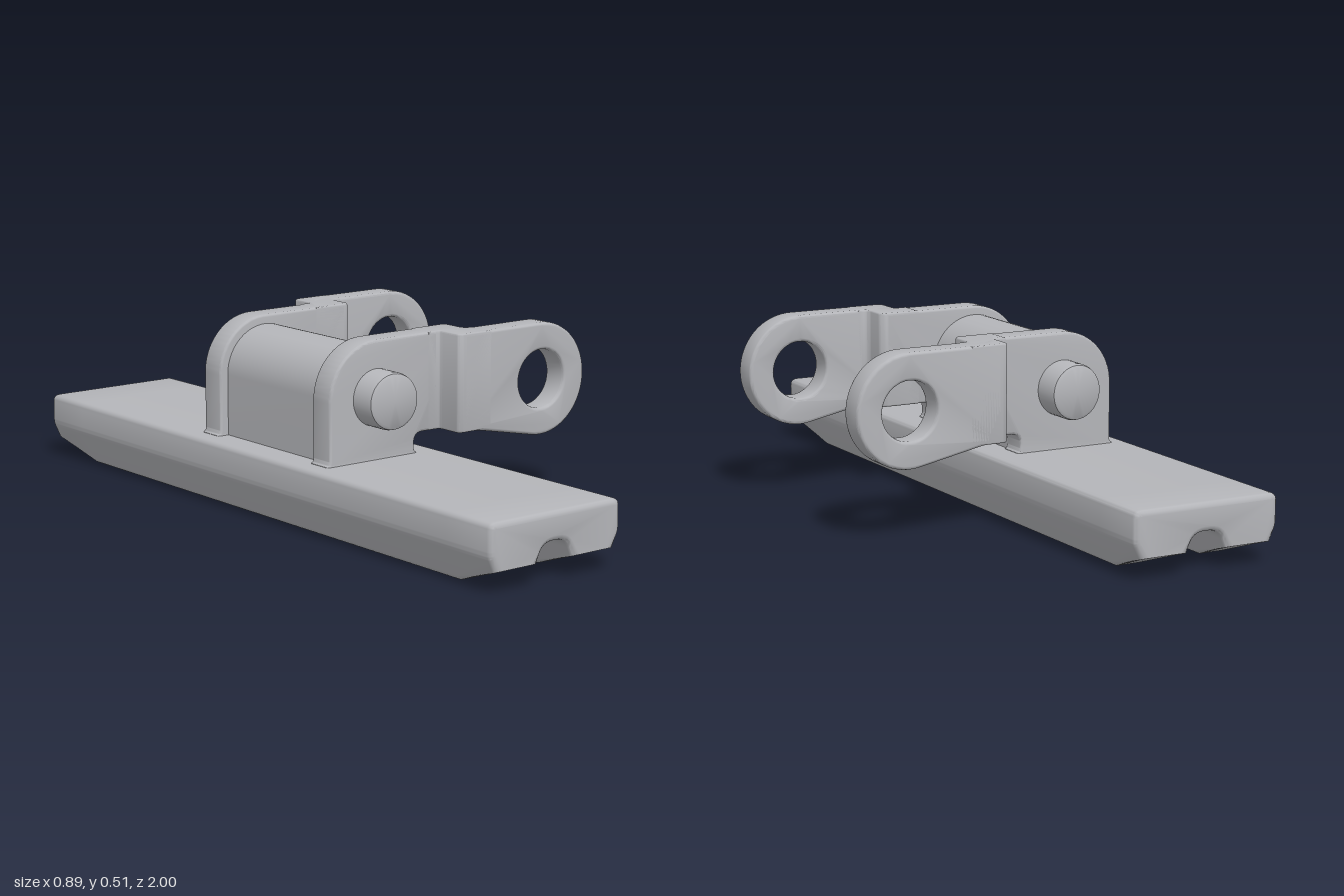
import * as THREE from 'three';
import { toCreasedNormals } from 'three/addons/utils/BufferGeometryUtils.js';

// Closed outline from [x, y, cornerRadius] points
function roundedShape(points) {
  const shape = new THREE.Shape();
  const n = points.length;
  points.forEach(([x, y, r = 0], i) => {
    const here = new THREE.Vector2(x, y);
    const toward = (q) => here.clone().add(new THREE.Vector2(q[0] - x, q[1] - y).setLength(r));
    const a = r ? toward(points[(i + n - 1) % n]) : here;
    if (i === 0) shape.moveTo(a.x, a.y);
    else shape.lineTo(a.x, a.y);
    if (r) {
      const b = toward(points[(i + 1) % n]);
      shape.quadraticCurveTo(x, y, b.x, b.y);
    }
  });
  return shape;
}

// Extrusion from z0 to z1 with softened edges that keep the outline size
function extrude(shape, z0, z1, bevel, curveSegments = 6, steps = 1) {
  const geo = new THREE.ExtrudeGeometry(shape, {
    depth: z1 - z0 - 2 * bevel, steps, curveSegments,
    bevelEnabled: bevel > 0, bevelThickness: bevel, bevelSize: bevel,
    bevelOffset: -bevel, bevelSegments: 3,
  });
  return geo.translate(0, 0, z0 + bevel);
}

export function createModel() {
  const model = new THREE.Group();
  const steel = new THREE.MeshStandardMaterial({ color: 0xb4b5b9 });
  steel.name = 'steel grey';
  const add = (name, geo) => {
    const mesh = new THREE.Mesh(toCreasedNormals(geo, 0.6), steel);
    mesh.name = name;
    model.add(mesh);
    return mesh;
  };
  const pinX = -0.23, pinY = 0.355;

  // Long tread shoe with two ribs below
  const shoe = extrude(roundedShape([
    [-0.445, 0.1, 0.012], [-0.402, 0, 0.014], [-0.313, 0, 0.014], [-0.268, 0.107, 0.03],
    [-0.192, 0.107, 0.03], [-0.147, 0, 0.014], [-0.058, 0, 0.014], [-0.012, 0.1, 0.012],
    [-0.012, 0.185, 0.022], [-0.445, 0.185, 0.022],
  ]), -1, 1, 0.015, 6, 3);
  // Slope the rib undersides up toward both ends
  const pos = shoe.attributes.position;
  for (let i = 0; i < pos.count; i++) {
    let x = pos.getX(i), y = pos.getY(i), z = pos.getZ(i);
    if (Math.abs(z) < 0.5) z = Math.sign(z) * 0.83;
    const floor = 0.06 * (Math.abs(z) - 0.83) / 0.17;
    if (y < floor) {
      const ribX = x < pinX ? -0.3575 : -0.1025;
      x = ribX + (x - ribX) * (0.0445 + 0.43 * floor) / (0.0445 + 0.43 * y);
      y = floor;
    }
    pos.setXYZ(i, x, y, z);
  }
  add('treadShoe', shoe);

  // Barrel with straight sides between the link plates
  const barrel = new THREE.Shape();
  barrel.moveTo(pinX - 0.13, 0.175);
  barrel.lineTo(pinX + 0.13, 0.175);
  barrel.absarc(pinX, pinY, 0.13, 0, Math.PI, false);
  barrel.closePath();
  add('barrel', extrude(barrel, -0.22, 0.22, 0, 20));

  // Inner plate outline: rounded shoulder and a foot on the shoe
  const inner = new THREE.Shape();
  inner.moveTo(-0.394, 0.172);
  inner.lineTo(-0.09, 0.172);
  inner.lineTo(-0.09, 0.186);
  inner.quadraticCurveTo(-0.098, 0.19, -0.098, 0.2);
  inner.lineTo(-0.098, 0.212);
  inner.quadraticCurveTo(-0.098, 0.24, -0.07, 0.24);
  inner.lineTo(0.055, 0.24);
  inner.lineTo(0.055, 0.51);
  inner.lineTo(-0.23, 0.51);
  inner.absarc(-0.23, 0.355, 0.155, Math.PI / 2, Math.PI, false);
  inner.lineTo(-0.385, 0.2);
  inner.quadraticCurveTo(-0.385, 0.19, -0.394, 0.186);
  inner.closePath();

  // Outer plate outline: round eye with a hole
  const eyeX = 0.285, eyeY = 0.354;
  const outer = new THREE.Shape();
  outer.moveTo(0.005, 0.24);
  outer.lineTo(0.035, 0.24);
  outer.quadraticCurveTo(0.06, 0.24, 0.085, 0.234);
  outer.absarc(eyeX, eyeY, 0.157, -1.768, Math.PI / 2, false);
  outer.lineTo(0.005, 0.511);
  outer.closePath();
  const hole = new THREE.Path();
  hole.absarc(eyeX, eyeY, 0.082, 0, Math.PI * 2, true);
  outer.holes.push(hole);

  for (const s of [1, -1]) {
    const side = s > 0 ? 'front' : 'back';
    const range = (a, b) => (s > 0 ? [a, b] : [-b, -a]);
    add(side + 'InnerPlate', extrude(inner, ...range(0.21, 0.287), 0.007, 16));
    add(side + 'EyePlate', extrude(outer, ...range(0.295, 0.37), 0.009, 20));

    // Offset bend joining the two plates
    const bend = roundedShape([
      [-0.05, 0.21], [0.07, 0.21, 0.022], [0.07, 0.295, 0.02], [0.1, 0.295],
      [0.1, 0.37], [-0.012, 0.37, 0.018], [-0.012, 0.287, 0.012], [-0.05, 0.287],
    ].map(([x, z, r]) => [x, -s * z, r]));
    add(side + 'Bend', extrude(bend, 0.24, 0.511, 0.005).rotateX(-Math.PI / 2));

    // Pin end with a softened rim and a slightly slanted face
    const profile = [[0.078, 0], [0.078, 0.152], [0.075, 0.162], [0.067, 0.167], [0, 0.167]]
      .map(([r, h]) => new THREE.Vector2(r, h));
    const pin = new THREE.LatheGeometry(profile, 40);
    const p = pin.attributes.position;
    for (let i = 0; i < p.count; i++) {
      if (p.getY(i) > 0.1) p.setY(i, p.getY(i) + 0.06 * p.getX(i));
    }
    pin.rotateX(s * Math.PI / 2).translate(pinX, pinY, s * 0.2);
    add(side + 'PinEnd', pin);
  }
  return model;
}
